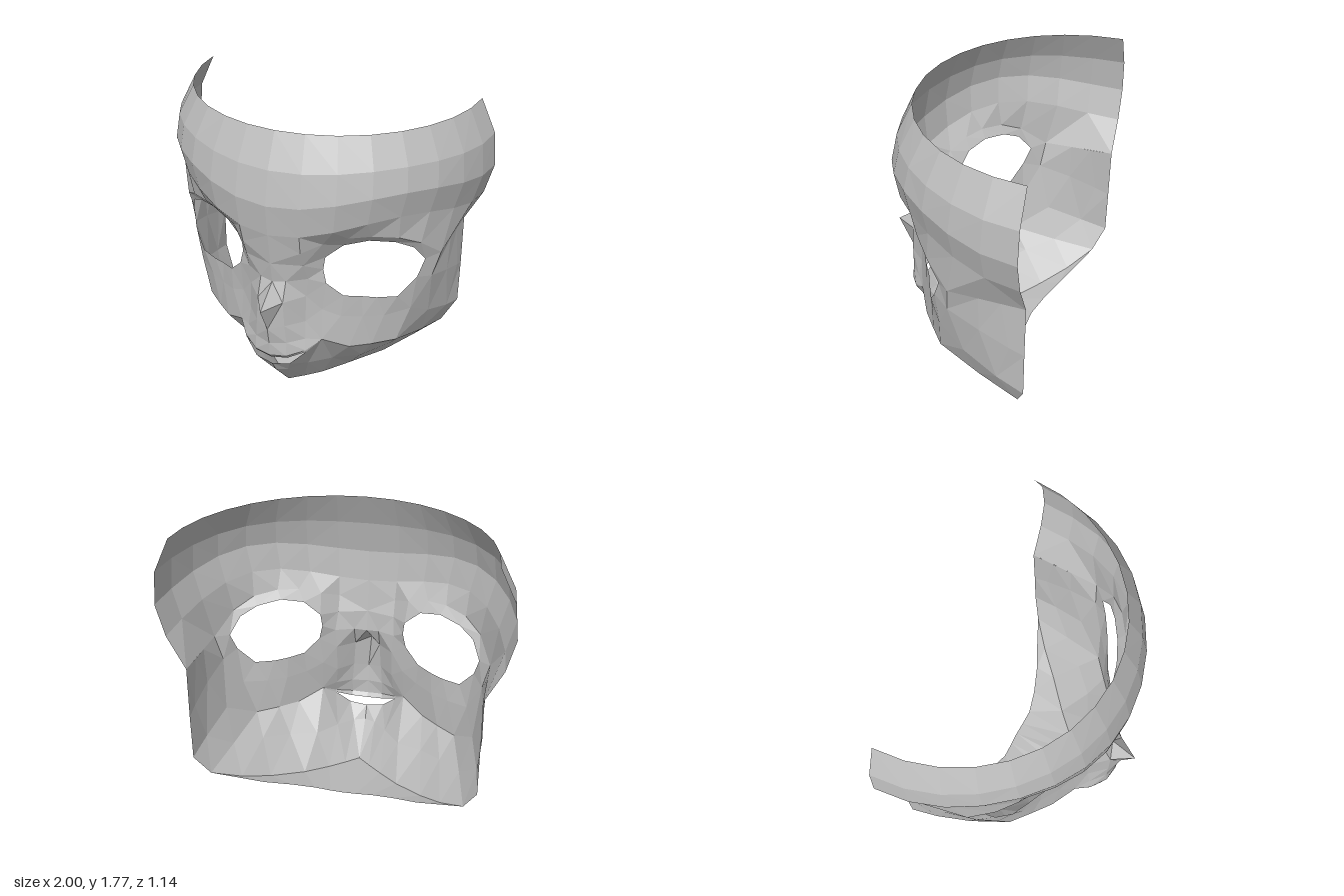
import * as THREE from 'three';

const grey = new THREE.MeshStandardMaterial({ color: 0xbcbcbc, side: THREE.DoubleSide, flatShading: true });
grey.name = 'maskGrey';

const dist = (p, q) => Math.hypot(p[0] - q[0], p[1] - q[1], p[2] - q[2]);

// Joins neighbouring cross-sections with facets, on the left half and mirrored on the right
function loft(name, rows) {
  const pos = [];
  const tri = (a, b, c) => {
    pos.push(...a, ...b, ...c);
    for (const p of [a, c, b]) pos.push(-p[0], p[1], p[2]);
  };
  for (let i = 0; i + 1 < rows.length; i++) {
    const n = Math.min(rows[i].length, rows[i + 1].length);
    for (let j = 0; j + 1 < n; j++) {
      const a = rows[i][j], b = rows[i + 1][j], c = rows[i + 1][j + 1], d = rows[i][j + 1];
      // Split each facet along its shorter diagonal
      if (dist(a, c) <= dist(b, d)) {
        tri(a, b, c);
        tri(a, c, d);
      } else {
        tri(a, b, d);
        tri(b, c, d);
      }
    }
  }
  const geo = new THREE.BufferGeometry();
  geo.setAttribute('position', new THREE.Float32BufferAttribute(pos, 3));
  geo.computeVertexNormals();
  const mesh = new THREE.Mesh(geo, grey);
  mesh.name = name;
  return mesh;
}

// Half-elliptic section of the skull, raised over the eye by lift
function skullRow(y, width, front, lift) {
  const row = [];
  for (let j = 0; j <= 8; j++) {
    const t = (j / 8) * Math.PI / 2;
    row.push([width * Math.sin(t), y + lift * Math.sin(2 * t) ** 2, -0.57 + (front + 0.57) * Math.cos(t)]);
  }
  return row;
}

export function createModel() {
  const group = new THREE.Group();
  group.name = 'faceMask';

  // Forehead and brow, closing on the socket around the upper eyelid
  const brow = skullRow(1.18, 0.95, 0.46, 0.12);
  const socket = [
    [0, 1.08, 0.445], [0.18, 1.08, 0.415], [0.28, 1.12, 0.33], [0.41, 1.16, 0.275], [0.53, 1.17, 0.215],
    [0.66, 1.15, 0.13], [0.76, 1.09, 0.03], [0.84, 0.97, -0.12], [0.845, 0.98, -0.57],
  ];
  const lid = [
    [0, 0.98, 0.43], [0.18, 0.98, 0.375], [0.27, 1.0, 0.265], [0.37, 1.09, 0.24], [0.5, 1.12, 0.18],
    [0.63, 1.1, 0.1], [0.72, 1.05, 0.03], [0.77, 0.95, -0.04],
  ];
  group.add(loft('forehead', [
    skullRow(1.77, 0.885, 0.35, 0), skullRow(1.57, 0.98, 0.44, 0.03), skullRow(1.37, 1.0, 0.48, 0.09), brow,
  ]));
  group.add(loft('browAndEyelids', [brow, socket, lid]));

  // Cheeks: spokes fanning from the lower eye edge to the back edge and jaw line
  const cheek = [
    [[0.77, 0.95, -0.04], [0.84, 0.97, -0.12], [0.842, 0.974, -0.3], [0.843, 0.977, -0.43], [0.845, 0.98, -0.57]],
    [[0.74, 0.84, 0], [0.8, 0.81, -0.1], [0.835, 0.75, -0.3], [0.85, 0.69, -0.48], [0.85, 0.66, -0.57]],
    [[0.65, 0.72, 0.065], [0.71, 0.61, -0.01], [0.77, 0.51, -0.18], [0.825, 0.43, -0.4], [0.85, 0.38, -0.57]],
    [[0.54, 0.715, 0.12], [0.58, 0.58, 0.09], [0.64, 0.38, 0.02], [0.71, 0.3, -0.25], [0.77, 0.24, -0.51]],
    [[0.46, 0.725, 0.16], [0.47, 0.58, 0.155], [0.52, 0.375, 0.12], [0.57, 0.26, -0.09], [0.62, 0.15, -0.38]],
    [[0.37, 0.74, 0.22], [0.36, 0.6, 0.23], [0.41, 0.38, 0.21], [0.43, 0.22, 0.05], [0.48, 0.08, -0.24]],
    [[0.28, 0.83, 0.27], [0.26, 0.65, 0.28], [0.27, 0.45, 0.3], [0.27, 0.2, 0.13], [0.3, 0.03, -0.08]],
  ];
  group.add(loft('cheeks', cheek));
  const [eyeIn, noseFoot, mouthSide, chinSide, jawSide] = cheek[6];

  // Nose with a pointed tip, and the upper lip turned in at the mouth
  const mouthCorner = [0.2, 0.385, 0.375];
  group.add(loft('noseAndUpperLip', [
    [lid[0], [0.09, 0.98, 0.4025], lid[1], lid[2]],
    [[0, 0.85, 0.41], [0.08, 0.86, 0.395], [0.19, 0.87, 0.33], [0.26, 0.92, 0.27]],
    [[0, 0.73, 0.57], [0.08, 0.74, 0.44], [0.18, 0.75, 0.33], eyeIn],
    [[0, 0.56, 0.485], [0.09, 0.58, 0.44], [0.18, 0.58, 0.34], noseFoot],
    [[0, 0.45, 0.465], [0.1, 0.46, 0.435], [0.19, 0.47, 0.36], mouthSide],
    [[0, 0.36, 0.46], [0.1, 0.37, 0.445], [0.2, 0.4, 0.38], mouthSide],
    [[0, 0.335, 0.44], [0.1, 0.345, 0.425], mouthCorner, mouthSide],
  ]));

  // Chin, from the lower lip to the jaw line
  const jawFront = [[0, 0, 0.2], [0.08, 0, 0.13], [0.17, 0.005, 0.05], jawSide];
  group.add(loft('chin', [
    [[0, 0.28, 0.43], [0.11, 0.3, 0.42], mouthCorner, mouthSide],
    [[0, 0.2, 0.38], [0.07, 0.2, 0.35], [0.16, 0.21, 0.25], chinSide],
    jawFront,
  ]));

  // Underside between the jaw line and the curved rear edge
  group.add(loft('underJaw', [
    [...jawFront, cheek[5][4], cheek[4][4], cheek[3][4]],
    [[0, 0.055, -0.28], [0.08, 0.055, -0.277], [0.18, 0.06, -0.275], [0.32, 0.085, -0.31],
      [0.48, 0.12, -0.37], [0.62, 0.18, -0.44], [0.77, 0.24, -0.51]],
  ]));

  return group;
}
